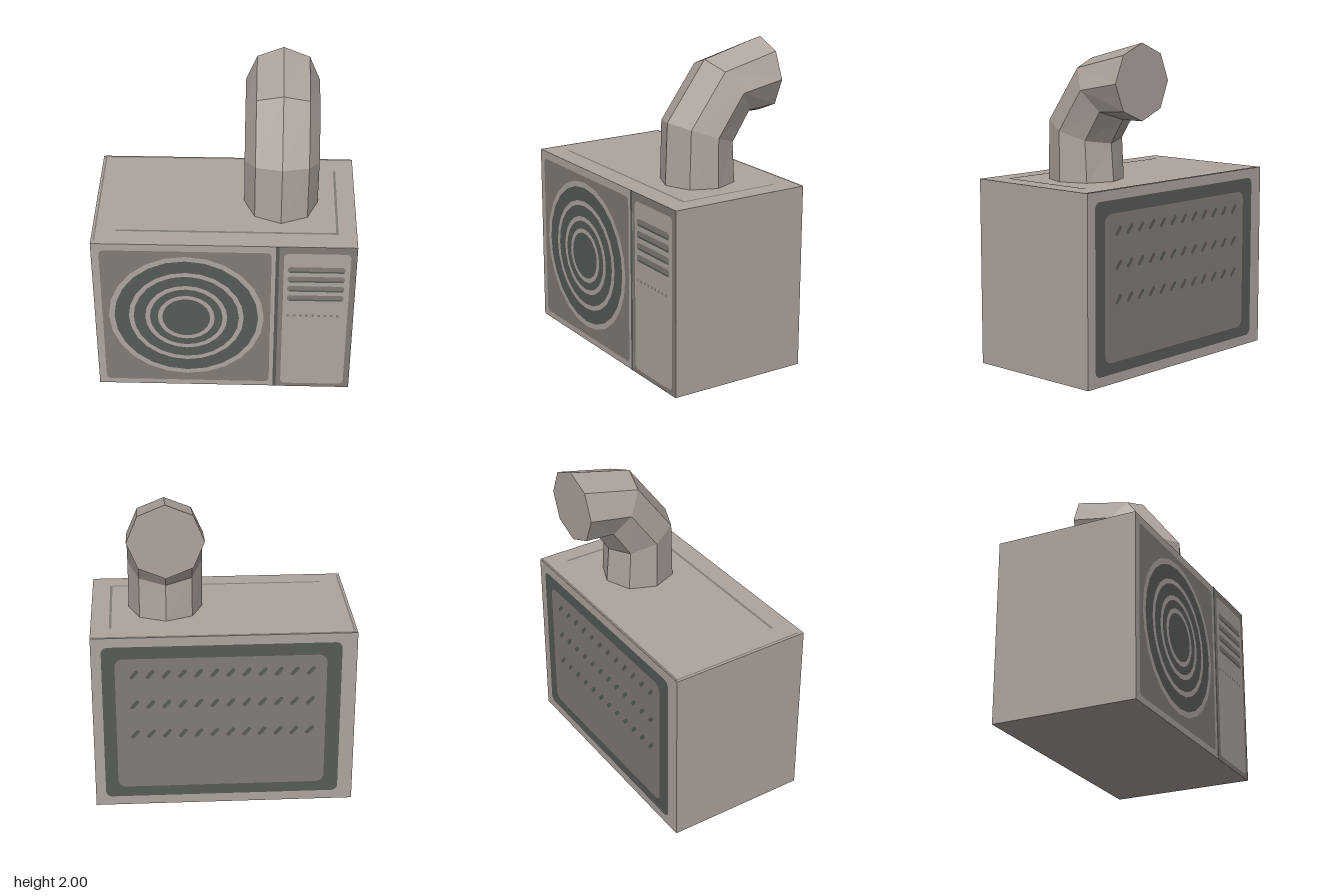
import * as THREE from 'three';

const mat = (name, color) => {
  const m = new THREE.MeshStandardMaterial({ color });
  m.name = name;
  return m;
};

// Rounded rectangle from corner to corner
function roundedRect(x0, y0, x1, y1, r) {
  const s = new THREE.Shape();
  s.absarc(x1 - r, y1 - r, r, 0, Math.PI / 2);
  s.absarc(x0 + r, y1 - r, r, Math.PI / 2, Math.PI);
  s.absarc(x0 + r, y0 + r, r, Math.PI, Math.PI * 1.5);
  s.absarc(x1 - r, y0 + r, r, Math.PI * 1.5, Math.PI * 2);
  return s;
}

// Octagonal duct lofted through tilted rings; each ring is [front z, front y, back z, back y]
function ductGeometry(rings, cx, radius, sides = 8) {
  const point = ([fz, fy, bz, by], i) => {
    const a = (i / sides) * Math.PI * 2, c = Math.cos(a);
    return [cx + radius * Math.sin(a),
      (fy + by) / 2 + ((fy - by) / 2) * c,
      (fz + bz) / 2 + ((fz - bz) / 2) * c];
  };
  const pos = [];
  const tri = (...pts) => pts.forEach((p) => pos.push(...p));
  for (let k = 0; k < rings.length - 1; k++) {
    for (let i = 0; i < sides; i++) {
      const a = point(rings[k], i), b = point(rings[k], i + 1);
      const c = point(rings[k + 1], i + 1), d = point(rings[k + 1], i);
      tri(a, b, c);
      tri(a, c, d);
    }
  }
  // Flat end cap
  const end = rings[rings.length - 1];
  const centre = [cx, (end[1] + end[3]) / 2, (end[0] + end[2]) / 2];
  for (let i = 0; i < sides; i++) tri(centre, point(end, i), point(end, i + 1));
  const g = new THREE.BufferGeometry();
  g.setAttribute('position', new THREE.Float32BufferAttribute(pos, 3));
  g.computeVertexNormals();
  return g;
}

export function createModel() {
  const light = mat('warmGrey', 0xaea49e);
  const mid = mat('shadeGrey', 0x827b76);
  const dark = mat('darkGreenGrey', 0x565b56);

  const model = new THREE.Group();
  model.name = 'airConditioner';
  const add = (parent, name, geometry, material) => {
    const m = new THREE.Mesh(geometry, material);
    m.name = name;
    parent.add(m);
    return m;
  };
  // Painted face, raised by a small layer step
  const paint = (parent, name, shape, material, layer) => {
    const m = add(parent, name, new THREE.ShapeGeometry(shape, 6), material);
    m.position.z = layer * 0.0015;
    return m;
  };

  // Casing
  add(model, 'casing', new THREE.BoxGeometry(1.615, 1.16, 0.915), light).position.y = 0.58;

  // Bent exhaust duct
  add(model, 'exhaustDuct', ductGeometry([
    [0.23, 1.15, -0.23, 1.15],
    [0.215, 1.545, -0.21, 1.39],
    [-0.05, 1.9, -0.305, 1.54],
    [-0.46, 2.0, -0.46, 1.54],
  ], 0.345, 0.23), light);

  // Front face
  const front = new THREE.Group();
  front.name = 'frontFace';
  front.position.z = 0.4575;
  model.add(front);
  paint(front, 'fanPanel', roundedRect(-0.76, 0.04, 0.29, 1.11, 0.03), mid, 1);

  // Fan grille: alternating discs from the outer rim to the hub
  [0.485, 0.45, 0.36, 0.33, 0.257, 0.228, 0.178, 0.15].forEach((r, i) => {
    const disc = add(front, i % 2 ? 'fanOpening' : 'grilleRing',
      new THREE.CircleGeometry(r, 24), i % 2 ? dark : light);
    disc.position.set(-0.235, 0.585, 0.002 + i * 0.0008);
  });

  // Control side: divider, border, panel
  paint(front, 'controlBorder', roundedRect(0.335, 0, 0.8075, 1.16, 0.002), mid, 1);
  paint(front, 'divider', roundedRect(0.315, 0, 0.336, 1.16, 0.002), dark, 2);
  paint(front, 'controlPanel', roundedRect(0.365, 0.03, 0.77, 1.11, 0.03), light, 2);

  // Louvre slots with a dark lower lip
  for (let i = 0; i < 4; i++) {
    const y = 0.985 - i * 0.075;
    paint(front, 'slot', roundedRect(0.39, y - 0.022, 0.74, y + 0.022, 0.02), mid, 3);
    paint(front, 'slotLip', roundedRect(0.4, y - 0.022, 0.735, y - 0.01, 0.005), dark, 4);
  }
  // Row of tiny indicators
  for (let i = 0; i < 9; i++) {
    const x = 0.4 + i * 0.0385;
    paint(front, 'indicator', roundedRect(x - 0.008, 0.607, x + 0.008, 0.625, 0.003), mid, 3);
  }

  // Back face, drawn facing outwards
  const back = new THREE.Group();
  back.name = 'backFace';
  back.position.z = -0.4575;
  back.rotation.y = Math.PI;
  model.add(back);
  paint(back, 'backFrame', roundedRect(-0.745, 0.06, 0.715, 1.1, 0.04), dark, 1);
  paint(back, 'backPanel', roundedRect(-0.665, 0.13, 0.625, 1.02, 0.05), mid, 2);
  // Slanted vents in three rows
  for (let row = 0; row < 3; row++) {
    for (let i = 0; i < 12; i++) {
      const vent = paint(back, 'vent', roundedRect(-0.034, -0.012, 0.034, 0.012, 0.01), dark, 3);
      vent.position.x = -0.55 + i * 0.098;
      vent.position.y = 0.915 - row * 0.205;
      vent.rotation.z = 0.85;
    }
  }

  // Fine seams on the top
  const seam = (x0, x1, z0, z1) => {
    const m = add(model, 'topSeam', new THREE.PlaneGeometry(x1 - x0, z1 - z0), mid);
    m.rotation.x = -Math.PI / 2;
    m.position.set((x0 + x1) / 2, 1.1615, (z0 + z1) / 2);
  };
  seam(-0.665, 0.68, 0.317, 0.333);
  seam(0.68, 0.695, -0.32, 0.333);
  seam(-0.8, 0.8, -0.457, -0.44);
  seam(-0.795, -0.785, -0.44, 0.43);

  return model;
}
